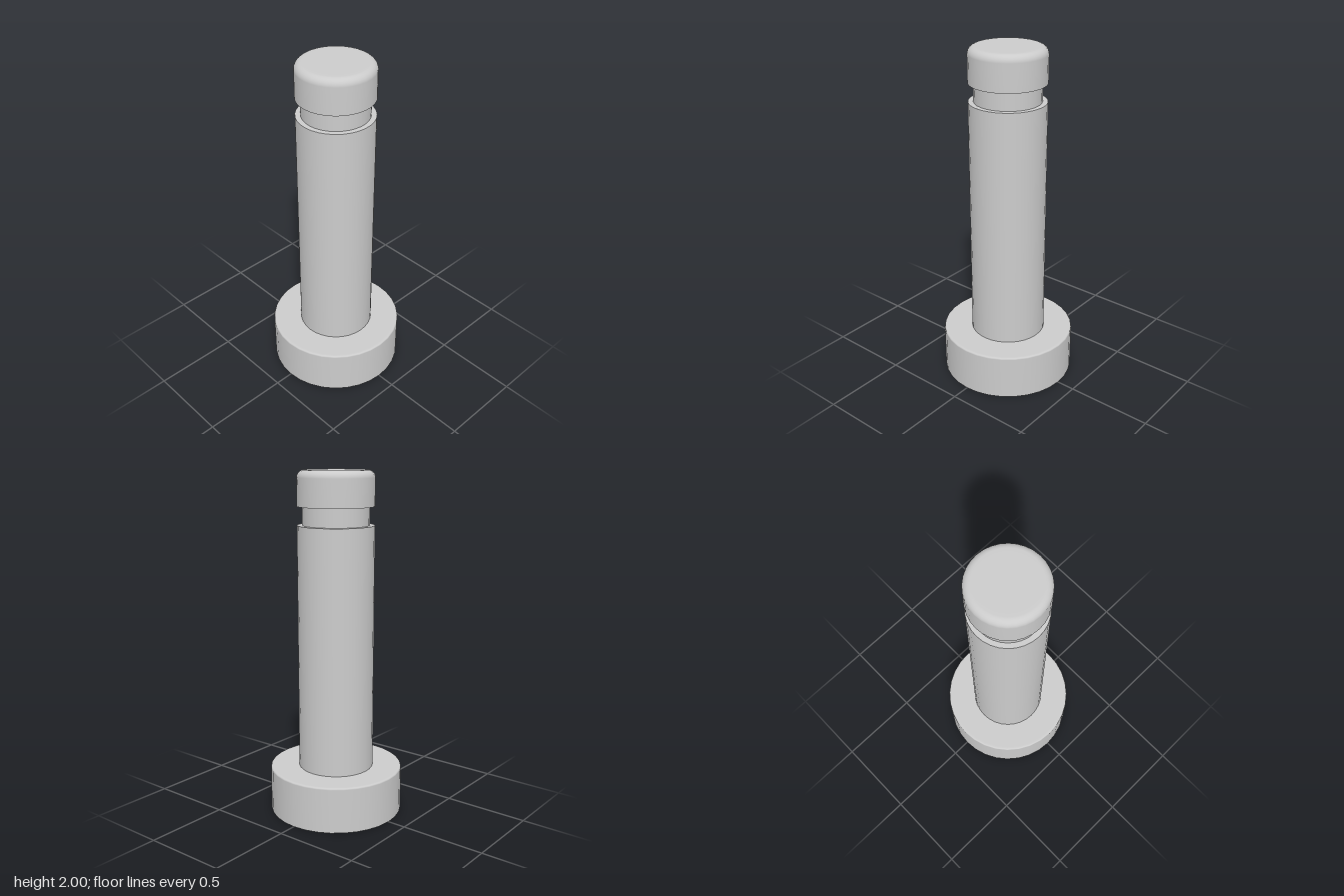
import * as THREE from 'three';

const SEGMENTS = 32;

export function createModel() {
  const group = new THREE.Group();
  const material = new THREE.MeshStandardMaterial({ color: 0xcccccc, side: THREE.DoubleSide });

  // Turned part: each profile is a smooth run of [radius, y]; separate runs meet at sharp edges
  function turned(name, ...profiles) {
    const part = new THREE.Group();
    part.name = name;
    for (const profile of profiles) {
      const points = profile.map(([r, y]) => new THREE.Vector2(r, y));
      const mesh = new THREE.Mesh(new THREE.LatheGeometry(points, SEGMENTS), material);
      mesh.name = name + 'Surface';
      part.add(mesh);
    }
    group.add(part);
  }

  // Quarter-round edge from the wall over to the top face
  function roundedEdge(radius, top, bevel, steps) {
    return Array.from({ length: steps + 1 }, (_, i) => {
      const a = (i / steps) * Math.PI / 2;
      return [radius - bevel * (1 - Math.cos(a)), top - bevel * (1 - Math.sin(a))];
    });
  }

  // Hollow base cup, open underneath
  turned('base', [[0.39, 0], ...roundedEdge(0.39, 0.27, 0.01, 3), [0.37, 0.27], [0, 0.27]]);

  // Short open collar under the base, in line with the shaft
  turned('collar', [[0.22, 0.165], [0.22, 0.27]]);

  // Shaft with its upper ledge
  turned('shaft', [[0.22, 0.27], [0.22, 1.695]], [[0.22, 1.695], [0.19, 1.695]]);

  // Narrow groove below the head
  turned('groove', [[0.19, 1.695], [0.19, 1.8]]);

  // Head with a rounded top edge
  turned('head',
    [[0.19, 1.8], [0.22, 1.8]],
    [[0.22, 1.8], ...roundedEdge(0.22, 2, 0.042, 6), [0.15, 2], [0, 2]]);

  return group;
}
